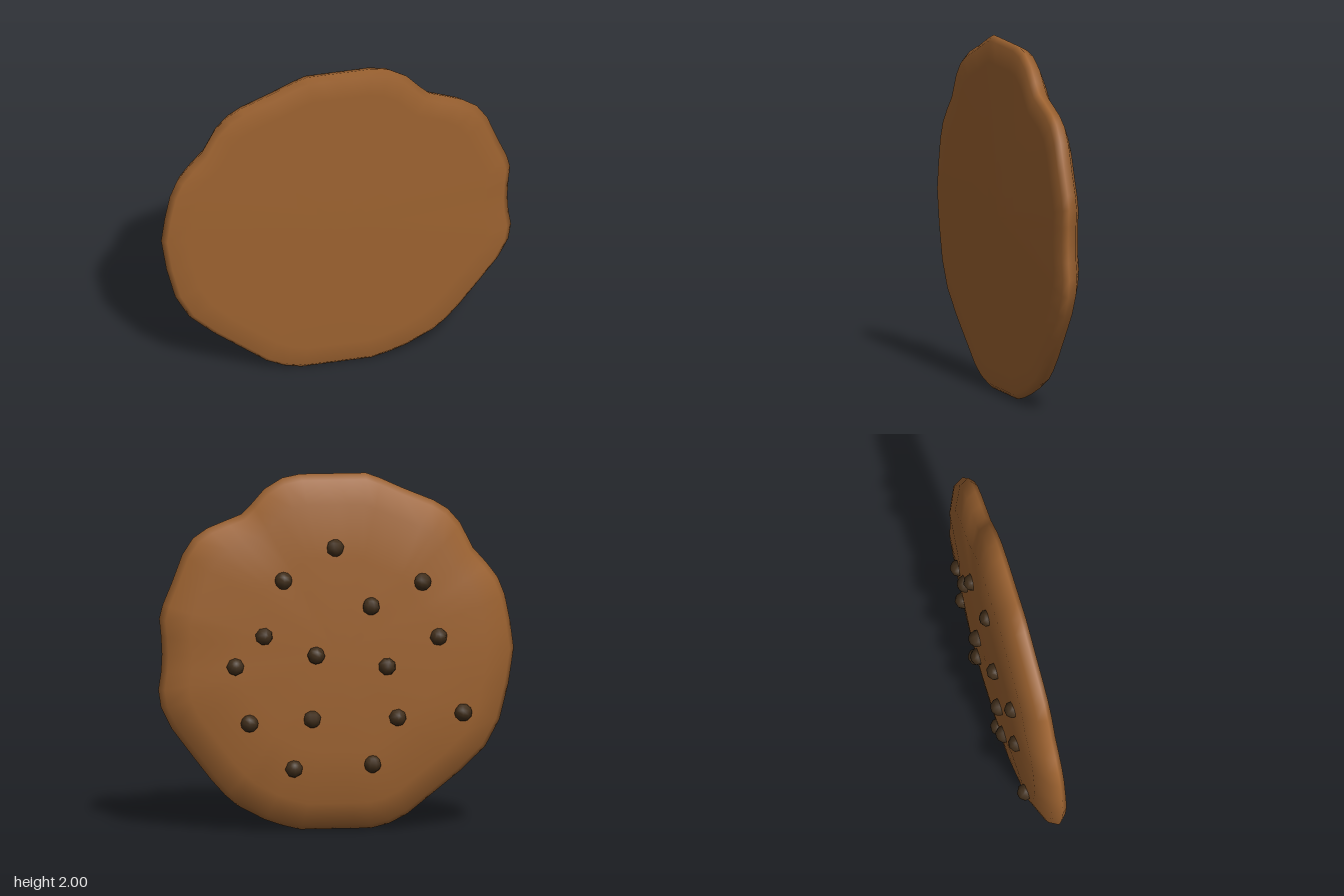
import * as THREE from 'three';

// Wavy rim, clockwise seen from the front, around the centre (0, 1)
const RIM = [
  [0, 2], [.1, 2], [.2, 2], [.3, 1.98], [.4, 1.92], [.47, 1.84], [.53, 1.78], [.62, 1.745], [.72, 1.705], [.8, 1.65],
  [.86, 1.56], [.92, 1.4], [.97, 1.28], [.99, 1.2], [.98, 1.1], [.975, 1], [.98, .9], [.995, .8], [.98, .7],
  [.92, .58], [.8, .42], [.7, .29], [.62, .2], [.55, .14], [.4, .06], [.3, .025], [.2, 0], [.1, 0], [0, 0],
  [-.1, 0], [-.2, 0], [-.3, .025], [-.4, .075], [-.55, .195], [-.7, .315], [-.84, .45], [-.92, .6], [-.97, .8], [-1, 1],
  [-.98, 1.15], [-.95, 1.3], [-.91, 1.4], [-.85, 1.48], [-.77, 1.57], [-.7, 1.71], [-.63, 1.79],
  [-.55, 1.84], [-.38, 1.91], [-.25, 1.97], [-.17, 2], [-.08, 2],
];

// Thickness profile from front to back: [fraction of rim radius, z]
const PROFILE = [[.85, .122], [.97, .114], [1, .085], [.97, .028], [.84, -.033], [.55, -.06]];

// Chip centres on the back: [x, y]
const CHIPS = [
  [.31, 1.42], [.02, 1.6], [.42, 1.11], [.58, .94], [-.18, 1.27], [-.47, 1.4], [.13, 1], [-.27, .93],
  [-.56, 1.09], [.5, .62], [.15, .64], [-.33, .64], [.25, .36], [-.19, .38], [-.7, .66],
];

function cookieGeometry() {
  const n = RIM.length, pos = [], idx = [];
  for (const [s, z] of PROFILE) for (const [x, y] of RIM) pos.push(x * s, 1 + (y - 1) * s, z);
  const front = pos.length / 3, back = front + 1;
  pos.push(0, 1, .13, 0, 1, -.075);
  const last = (PROFILE.length - 1) * n;
  for (let i = 0; i < n; i++) {
    const k = (i + 1) % n;
    idx.push(front, k, i, last + i, last + k, back);
    for (let j = 0; j < last; j += n) {
      idx.push(j + i, j + k, j + n + i, j + k, j + n + k, j + n + i);
    }
  }
  const geo = new THREE.BufferGeometry();
  geo.setAttribute('position', new THREE.Float32BufferAttribute(pos, 3));
  geo.setIndex(idx);
  geo.computeVertexNormals();
  return geo;
}

export function createModel() {
  const model = new THREE.Group();
  model.name = 'cookie';

  // Baked disc
  const dough = new THREE.Mesh(cookieGeometry(), new THREE.MeshStandardMaterial({ color: 0x9c6230 }));
  dough.name = 'dough';
  model.add(dough);

  // Chocolate chips, half sunk into the domed back
  const chips = new THREE.Group();
  chips.name = 'chocolateChips';
  const chipGeo = new THREE.SphereGeometry(.05, 8, 6);
  const chipMat = new THREE.MeshStandardMaterial({ color: 0x3f2d1a });
  CHIPS.forEach(([x, y], i) => {
    const chip = new THREE.Mesh(chipGeo, chipMat);
    chip.name = 'chip' + (i + 1);
    chip.position.set(x, y, Math.min(-.045, -.088 + .06 * Math.hypot(x, y - 1)));
    chip.rotation.set(i * .7, i * 1.3, 0);
    chips.add(chip);
  });
  model.add(chips);
  return model;
}
